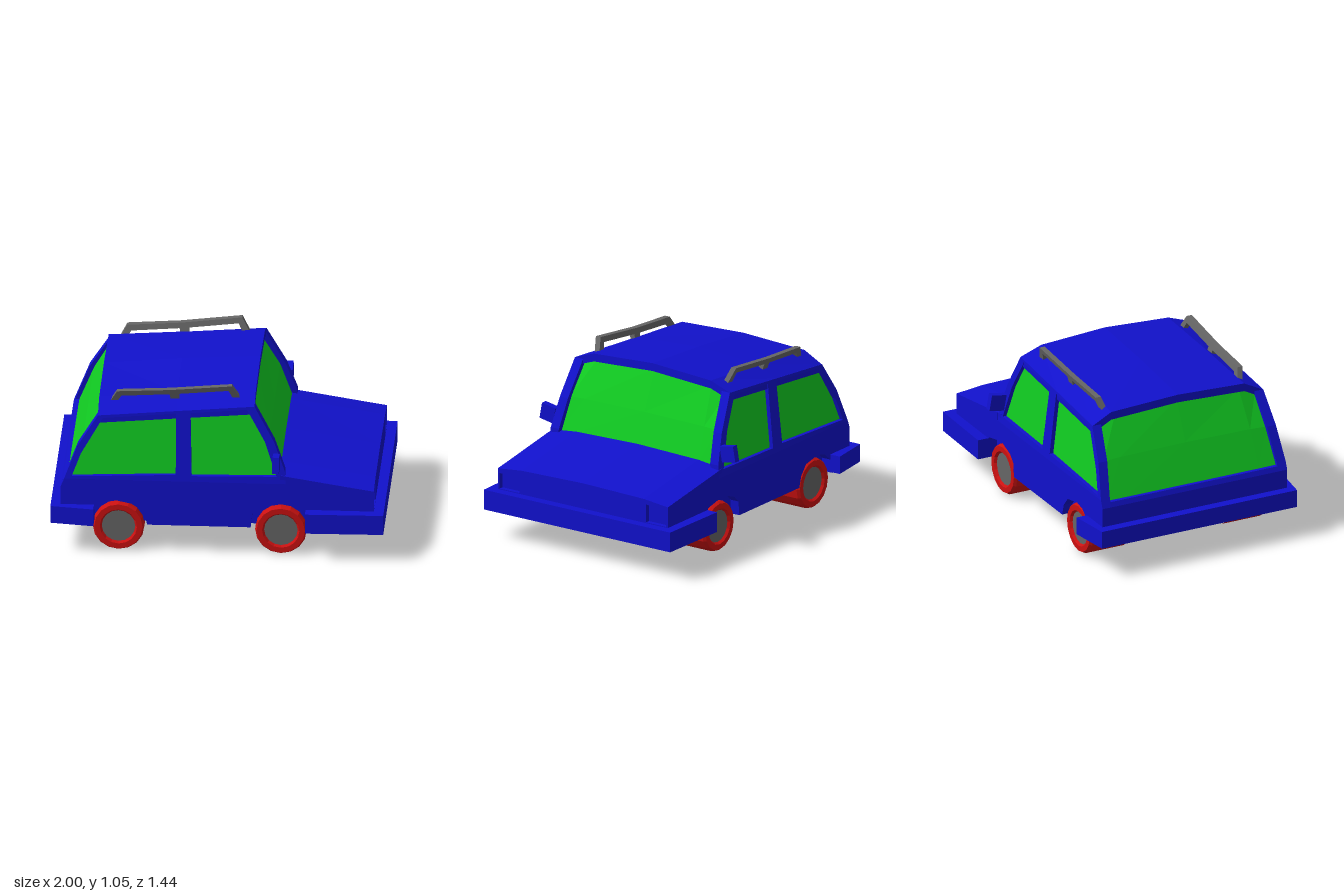
import * as THREE from 'three';

const material = (color, side = THREE.FrontSide) =>
  new THREE.MeshStandardMaterial({ color, flatShading: true, side });

const toPath = (pts, Type = THREE.Shape) =>
  new Type(pts.map(([x, y]) => new THREE.Vector2(x, y)));

// Extrude an outline (with holes) from z to z + depth
function plate(outline, z, depth, holes = []) {
  const shape = toPath(outline);
  shape.holes = holes.map((h) => toPath(h, THREE.Path));
  return new THREE.ExtrudeGeometry(shape, { depth, bevelEnabled: false }).translate(0, 0, z);
}

// Lean a geometry sideways in proportion to height
function lean(geo, y0, slope) {
  const p = geo.attributes.position;
  for (let i = 0; i < p.count; i++) p.setZ(i, p.getZ(i) - (p.getY(i) - y0) * slope);
  geo.computeVertexNormals();
  return geo;
}

// Mirror a geometry across z = 0, keeping faces outward
function mirrored(geo) {
  const g = geo.index ? geo.toNonIndexed() : geo.clone();
  g.scale(1, 1, -1);
  const p = g.attributes.position;
  const a = new THREE.Vector3(), b = new THREE.Vector3();
  for (let i = 0; i < p.count; i += 3) {
    a.fromBufferAttribute(p, i + 1);
    b.fromBufferAttribute(p, i + 2);
    p.setXYZ(i + 1, b.x, b.y, b.z);
    p.setXYZ(i + 2, a.x, a.y, a.z);
  }
  g.computeVertexNormals();
  return g;
}

// Faceted surface through one or more grids of points
function patch(...grids) {
  const out = [];
  for (const rows of grids)
    for (let i = 0; i < rows.length - 1; i++)
      for (let j = 0; j < rows[i].length - 1; j++) {
        const a = rows[i][j], b = rows[i][j + 1], c = rows[i + 1][j + 1], d = rows[i + 1][j];
        out.push(...a, ...b, ...c, ...a, ...c, ...d);
      }
  const g = new THREE.BufferGeometry();
  g.setAttribute('position', new THREE.Float32BufferAttribute(out, 3));
  g.computeVertexNormals();
  return g;
}

// Crowned cross-section: centre, shoulder and edge heights
const crown = (x, yMid, yShoulder, yEdge, zShoulder, zEdge) => [
  [x, yEdge, -zEdge], [x, yShoulder, -zShoulder], [x, yMid, 0],
  [x, yShoulder, zShoulder], [x, yEdge, zEdge],
];

// Closed slab under a run of crowned sections
function slab(tops, thickness) {
  const bottoms = tops.map((r) => r.map(([x, y, z]) => [x, y - thickness, z]));
  const rings = tops.map((r, i) => [...r, ...[...bottoms[i]].reverse(), r[0]]);
  const n = tops.length - 1;
  return patch(rings, [tops[n], bottoms[n]], [bottoms[0], tops[0]]);
}

export function createModel() {
  const car = new THREE.Group();
  car.name = 'car';
  const blue = material(0x1111cc);
  const green = material(0x11cc22, THREE.DoubleSide);
  const red = material(0xcc1111);
  const grey = material(0x666666);

  const add = (name, geo, mat) => {
    const m = new THREE.Mesh(geo, mat);
    m.name = name;
    car.add(m);
  };
  const addPair = (name, geo, mat) => {
    add(name + 'Left', geo, mat);
    add(name + 'Right', mirrored(geo), mat);
  };

  // Solid lower body between the side panels
  add('bodyCore', plate([[-0.94, 0.18], [0.91, 0.18], [0.91, 0.44], [0.41, 0.52],
    [0.38, 0.53], [-0.9, 0.45], [-0.929, 0.45], [-0.94, 0.42]], -0.565, 1.13), blue);

  // Lower side panels with faceted wheel arches
  addPair('lowerSide', plate([
    [-0.94, 0.18], [-0.76, 0.18], [-0.74, 0.27], [-0.68, 0.32], [-0.61, 0.335], [-0.49, 0.31],
    [-0.44, 0.25], [-0.42, 0.18], [0.2, 0.18], [0.21, 0.27], [0.25, 0.31], [0.36, 0.35],
    [0.52, 0.315], [0.54, 0.27], [0.54, 0.18], [0.91, 0.18], [0.91, 0.44], [0.41, 0.52],
    [0.41, 0.47], [-0.92, 0.47], [-0.94, 0.42]], 0.565, 0.06), blue);

  // Upper side frames with two window openings, leaning inward
  const rearWindow = [[-0.875, 0.485], [-0.25, 0.51], [-0.25, 0.895], [-0.69, 0.855], [-0.82, 0.63]];
  const frontWindow = [[-0.155, 0.505], [0.355, 0.515], [0.285, 0.73], [0.175, 0.93], [-0.165, 0.9]];
  const slope = 0.115;
  addPair('cabinSide', lean(plate([[-0.92, 0.47], [0.41, 0.47], [0.405, 0.55], [0.34, 0.73],
    [0.22, 0.95], [-0.72, 0.87], [-0.84, 0.68]], 0.565, 0.06,
  [rearWindow, frontWindow]), 0.47, slope), blue);
  addPair('rearSideGlass', lean(plate(rearWindow, 0.59, 0.01), 0.47, slope), green);
  addPair('frontSideGlass', lean(plate(frontWindow, 0.59, 0.01), 0.47, slope), green);

  // Crowned roof and bonnet
  add('roof', slab([
    crown(-0.72, 0.955, 0.935, 0.87, 0.45, 0.575),
    crown(-0.25, 0.998, 0.972, 0.91, 0.44, 0.572),
    crown(0.22, 1.025, 1.0, 0.95, 0.43, 0.57)], 0.05), blue);
  add('bonnet', slab([
    crown(0.375, 0.557, 0.545, 0.525, 0.45, 0.622),
    crown(0.94, 0.465, 0.455, 0.436, 0.45, 0.625)], 0.03), blue);

  // Curved front and rear glass, set back from the pillars
  add('windscreen', patch([
    crown(0.2, 0.985, 0.96, 0.915, 0.42, 0.52),
    crown(0.305, 0.74, 0.735, 0.73, 0.44, 0.545),
    crown(0.375, 0.545, 0.54, 0.525, 0.45, 0.57)]), green);
  add('rearGlass', patch([
    crown(-0.905, 0.45, 0.448, 0.445, 0.45, 0.575),
    crown(-0.815, 0.68, 0.675, 0.67, 0.44, 0.55),
    crown(-0.705, 0.92, 0.9, 0.86, 0.42, 0.53)]), green);

  // Nose panel with recessed headlight pockets
  const lamp = [[0.465, 0.31], [0.612, 0.31], [0.612, 0.43], [0.465, 0.432]];
  const nose = plate([[-0.625, 0.18], [0.625, 0.18], [0.625, 0.436], [0.45, 0.455],
    [0, 0.465], [-0.45, 0.455], [-0.625, 0.436]], 0, 0.03,
  [lamp, lamp.map(([z, y]) => [-z, y])]);
  add('nose', nose.rotateY(Math.PI / 2).translate(0.91, 0, 0), blue);

  // Wrap-around bumpers, drawn in plan
  const bumper = (name, plan, y0, y1) => add(name,
    plate(plan, 0, y1 - y0).rotateX(-Math.PI / 2).translate(0, y0, 0), blue);
  bumper('frontBumper', [[0.53, -0.695], [1, -0.685], [1, 0.685], [0.53, 0.695]], 0.18, 0.305);
  bumper('rearBumper', [[-1, -0.66], [-0.74, -0.695], [-0.74, 0.695], [-1, 0.66]], 0.192, 0.302);

  // Door mirrors
  addPair('doorMirror', new THREE.BoxGeometry(0.04, 0.1, 0.1)
    .rotateX(-0.18).translate(0.355, 0.62, 0.662), blue);

  // Roof rails with three feet
  addPair('roofRail', lean(plate([[-0.655, 0.915], [-0.61, 0.92], [-0.585, 0.962], [-0.295, 0.983],
    [-0.285, 0.93], [-0.235, 0.93], [-0.24, 0.988], [0.06, 1.02], [0.085, 0.965], [0.14, 0.95],
    [0.08, 1.055], [-0.29, 1.015], [-0.61, 0.995]], 0.47, 0.035), 1.02, -0.3), grey);

  // Open-backed wheels with grey hub discs
  for (const [name, x] of [['rearWheel', -0.595], ['frontWheel', 0.38]]) {
    const profile = [[0.155, 0.335], [0.155, 0.59], [0.145, 0.608], [0.112, 0.608], [0.1, 0.592]];
    const tyre = new THREE.LatheGeometry(profile.map(([r, z]) => new THREE.Vector2(r, z)), 16);
    addPair(name + 'Tyre', tyre.rotateX(Math.PI / 2).translate(x, 0.155, 0), red);
    addPair(name + 'Hub', new THREE.CircleGeometry(0.102, 16).translate(x, 0.155, 0.593), grey);
  }
  return car;
}
